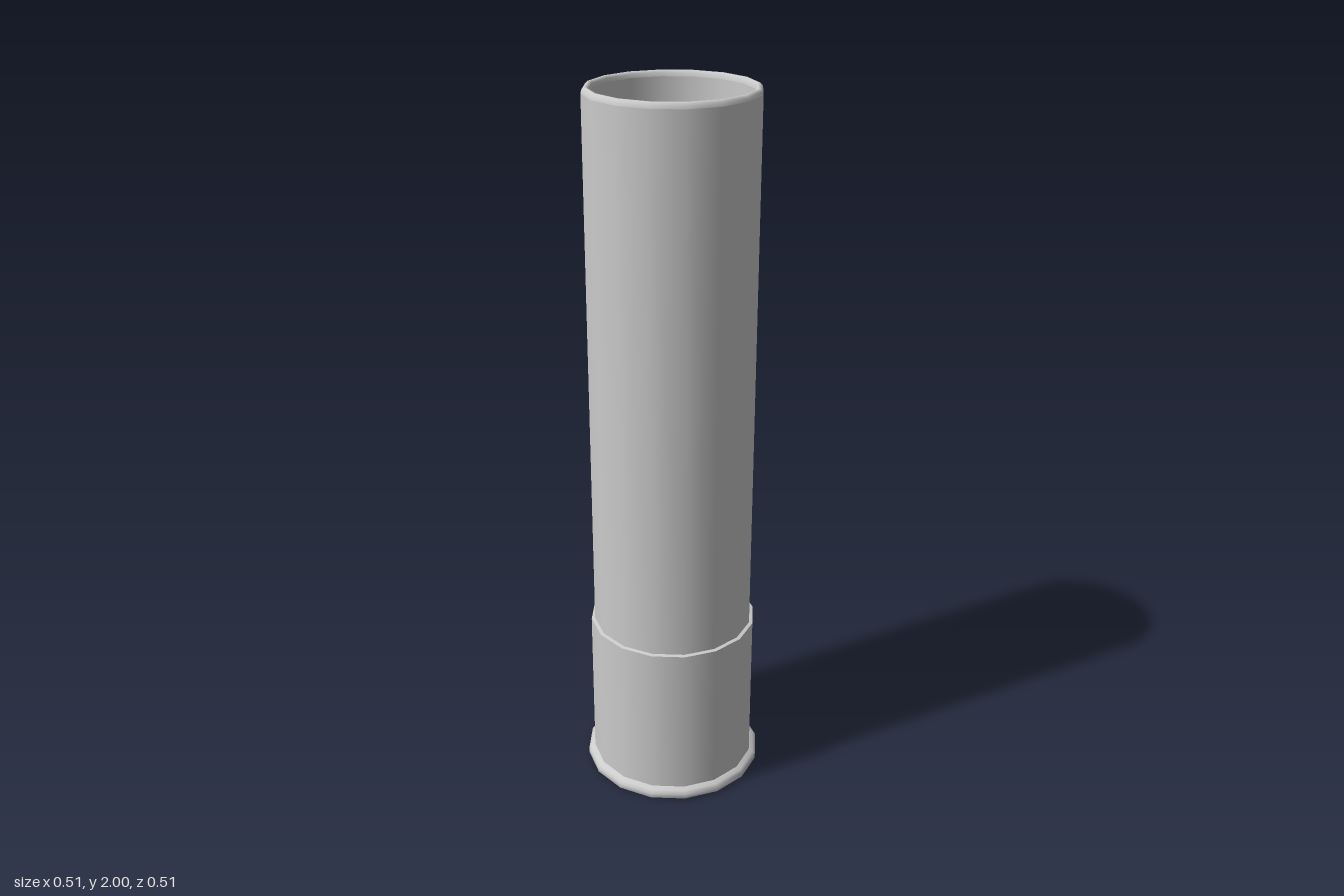
import * as THREE from 'three';

const SIDES = 16;
const material = new THREE.MeshStandardMaterial({ color: 0xcccccc });

// Revolves a profile of [radius, height] points; each separate lathe keeps a sharp edge to its neighbour
function turned(name, profile) {
  const points = profile.map(([r, y]) => new THREE.Vector2(r, y));
  const mesh = new THREE.Mesh(new THREE.LatheGeometry(points, SIDES), material);
  mesh.name = name;
  return mesh;
}

export function createModel() {
  const model = new THREE.Group();
  model.name = 'openTube';

  // Base disc and its flared rim
  model.add(turned('baseDisc', [[0, 0], [0.25, 0]]));
  model.add(turned('baseRim', [[0.25, 0], [0.257, 0.006], [0.257, 0.02], [0.25, 0.028], [0.238, 0.034]]));

  // Lower sleeve with a narrow step at its top
  model.add(turned('sleeve', [[0.238, 0.034], [0.238, 0.482]]));
  model.add(turned('sleeveStep', [[0.238, 0.482], [0.228, 0.484]]));

  // Long tube wall and rounded lip
  model.add(turned('tubeWall', [[0.228, 0.484], [0.228, 1.985]]));
  model.add(turned('lip', [[0.228, 1.985], [0.226, 1.994], [0.22, 2], [0.214, 2], [0.209, 1.995], [0.207, 1.985]]));

  // Hollow inside with its floor
  model.add(turned('hollow', [[0.207, 1.985], [0.207, 0.04], [0, 0.04]]));

  return model;
}
